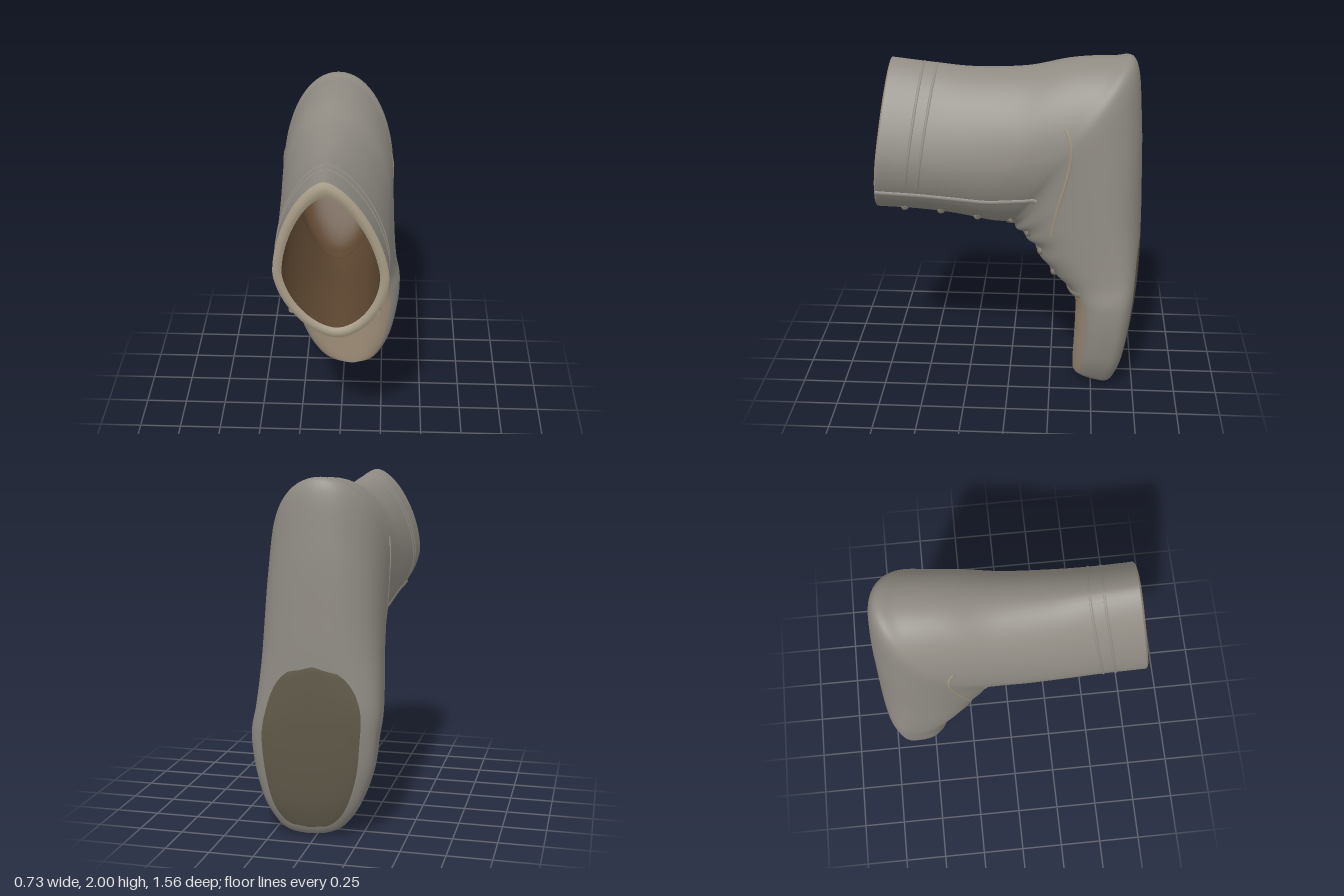
import * as THREE from 'three';
import { mergeVertices } from 'three/addons/utils/BufferGeometryUtils.js';

// Cross-sections from toe to cuff: instep z, y | sole or back z, y | centre x, half width
const sections = [
  [-0.39, 0.05, -0.60, 0.00, 0.05, 0.07],
  [-0.39, 0.065, -0.62, 0.015, 0.045, 0.15],
  [-0.39, 0.11, -0.65, 0.07, 0.035, 0.21],
  [-0.395, 0.22, -0.69, 0.20, 0.025, 0.28],
  [-0.40, 0.40, -0.725, 0.40, 0.012, 0.335],
  [-0.39, 0.56, -0.75, 0.60, 0.005, 0.355],
  [-0.33, 0.64, -0.765, 0.78, -0.015, 0.35],
  [-0.22, 0.74, -0.77, 1.00, -0.02, 0.34],
  [-0.13, 0.87, -0.765, 1.25, -0.02, 0.33],
  [-0.05, 0.94, -0.75, 1.65, -0.025, 0.325],
  [0.00, 0.98, -0.71, 1.965, -0.03, 0.325],
  [0.05, 0.99, -0.58, 1.985, -0.03, 0.325],
  [0.12, 1.00, -0.35, 1.97, -0.03, 0.32],
  [0.20, 1.02, -0.10, 1.92, -0.03, 0.315],
  [0.35, 1.05, 0.20, 1.91, -0.03, 0.31],
  [0.55, 1.07, 0.42, 1.93, -0.03, 0.305],
  [0.78, 1.08, 0.68, 1.96, -0.03, 0.305],
];
const LAST = sections.length - 1;
const track = (pick) => new THREE.CatmullRomCurve3(
  sections.map((s) => new THREE.Vector3(...pick(s))), false, 'catmullrom', 0.5);
const instep = track((s) => [0, s[1], s[0]]);
const back = track((s) => [0, s[3], s[2]]);
const width = track((s) => [s[4], s[5], 0]);
const { smoothstep, clamp } = THREE.MathUtils;

// Point on the boot skin: u = section number, t = angle (0 instep, PI sole), k = scale
function skin(u, t, k = 1) {
  const f = clamp(u / LAST, 0, 1);
  const w = width.getPoint(f);
  const c = Math.cos(t), s = Math.sin(t);
  // boxy foot, narrower heel, then an egg-shaped shaft pointed at both ends
  const n = c > 0
    ? 3 - 1.25 * smoothstep(u, 3, 11)
    : 2.9 - 0.5 * smoothstep(u, 5.5, 7.5) - 0.35 * smoothstep(u, 8, 10) - 0.45 * smoothstep(u, 11, 16);
  const widest = 0.35 + 0.23 * smoothstep(u, 4, 16);
  const v = Math.sign(c) * Math.abs(c) ** (2 / n);
  const x = Math.sign(s) * Math.abs(s) ** (2 / n);
  // creases in the leather where the foot bends
  const bend = Math.max(0, 1 - Math.abs(u - 8) / 2.5) * Math.max(0, c) ** 4;
  const size = k * (1 + 0.03 * Math.sin(u * 7) * bend);
  const along = widest + size * v * (c > 0 ? 1 - widest : widest);
  const p = back.getPoint(f).lerp(instep.getPoint(f), along);
  // the shaft leans a little to one side
  p.x = w.x + size * (x * w.y + 0.035 * v * smoothstep(u, 8, 14));
  return p;
}

// Smooth surface from a grid of points
function grid(rows, cols, fn) {
  const pos = [], idx = [];
  for (let i = 0; i <= rows; i++) {
    for (let j = 0; j <= cols; j++) pos.push(...fn(i / rows, j / cols).toArray());
  }
  for (let i = 0; i < rows; i++) {
    for (let j = 0; j < cols; j++) {
      const a = i * (cols + 1) + j, b = a + 1, c = a + cols + 1, d = c + 1;
      idx.push(a, b, c, b, d, c);
    }
  }
  let g = new THREE.BufferGeometry();
  g.setAttribute('position', new THREE.Float32BufferAttribute(pos, 3));
  g.setIndex(idx);
  g = mergeVertices(g, 1e-5);
  g.computeVertexNormals();
  return g;
}

export function createModel() {
  const boot = new THREE.Group();
  boot.name = 'boot';
  const mat = (color) => new THREE.MeshStandardMaterial({ color, side: THREE.DoubleSide });
  const leather = mat(0x8f8b83), toeTan = mat(0x9c8b76), dark = mat(0x625b4b);
  const lining = mat(0x5c4630), rimTan = mat(0xa09580), seam = mat(0x7d786d);
  const add = (name, geometry, material) => {
    const m = new THREE.Mesh(geometry, material);
    m.name = name;
    boot.add(m);
    return m;
  };
  const TAU = Math.PI * 2;

  // Upper, heel and shaft in one skin, closed at the toe tip
  add('upper', grid(128, 64, (i, j) =>
    i === 0 ? skin(0, 0, 0) : skin((i * 128 - 1) / 127 * LAST, j * TAU)), leather);

  // Rim of the opening and the hollow inside, rounded off above the heel
  add('rim', grid(4, 64, (i, j) => {
    const p = skin(LAST, j * TAU, 1 - 0.16 * i);
    p.z += 0.012 * Math.sin(i * Math.PI);
    return p;
  }), rimTan);
  add('lining', grid(48, 64, (i, j) => {
    const end = Math.max(0, (i - 0.6) / 0.4);
    return skin(LAST - 7 * Math.sin(i * Math.PI / 2), j * TAU, 0.84 * Math.sqrt(1 - end * end));
  }), lining);

  // Patches lying on the skin: bare toe cap and worn forefoot sole
  add('toeCap', grid(40, 24, (i, j) =>
    skin(0.9 + 4.8 * i, (j - 0.5) * 1.7, 1.008)), toeTan);
  add('forefootSole', grid(40, 24, (i, j) => {
    const half = 0.75 * Math.sqrt(Math.max(0, 1 - (2 * i - 1) ** 4));
    return skin(1.8 + 5.2 * i, Math.PI + (2 * j - 1) * half, 1.008);
  }), dark);

  // Raised lines that follow the skin
  const line = (name, from, to, radius, material, k) => {
    const pts = [];
    for (let i = 0; i <= 24; i++) {
      const f = i / 24;
      pts.push(skin(from[0] + (to[0] - from[0]) * f, from[1] + (to[1] - from[1]) * f, k));
    }
    add(name, new THREE.TubeGeometry(new THREE.CatmullRomCurve3(pts), 48, radius, 8), material);
  };
  line('toeCapSeam', [5.75, -0.9], [5.75, 0.9], 0.016, seam, 0.99);
  for (const u of [15.0, 15.3]) line('cuffBand', [u, 1.1], [u, TAU - 1.1], 0.01, leather, 0.985);
  for (const side of [-1, 1]) {
    line('sideStitching', [8.3, side * 0.9], [11.3, side * 1.9], 0.01, rimTan, 0.985);
    line('laceFlap', [10, side * 0.9], [LAST, side * 0.9], 0.018, leather, 0.98);
  }

  // Lace rows with a knob at either end
  const knob = new THREE.SphereGeometry(0.024, 12, 8);
  for (const u of [6.8, 7.7, 8.7, 10.5, 13, 14.3, 15.3]) {
    line('lace', [u, -0.5], [u, 0.5], 0.014, seam, 0.985);
    for (const side of [-1, 1]) add('laceKnob', knob, seam).position.copy(skin(u, side * 0.4, 0.99));
  }
  return boot;
}
